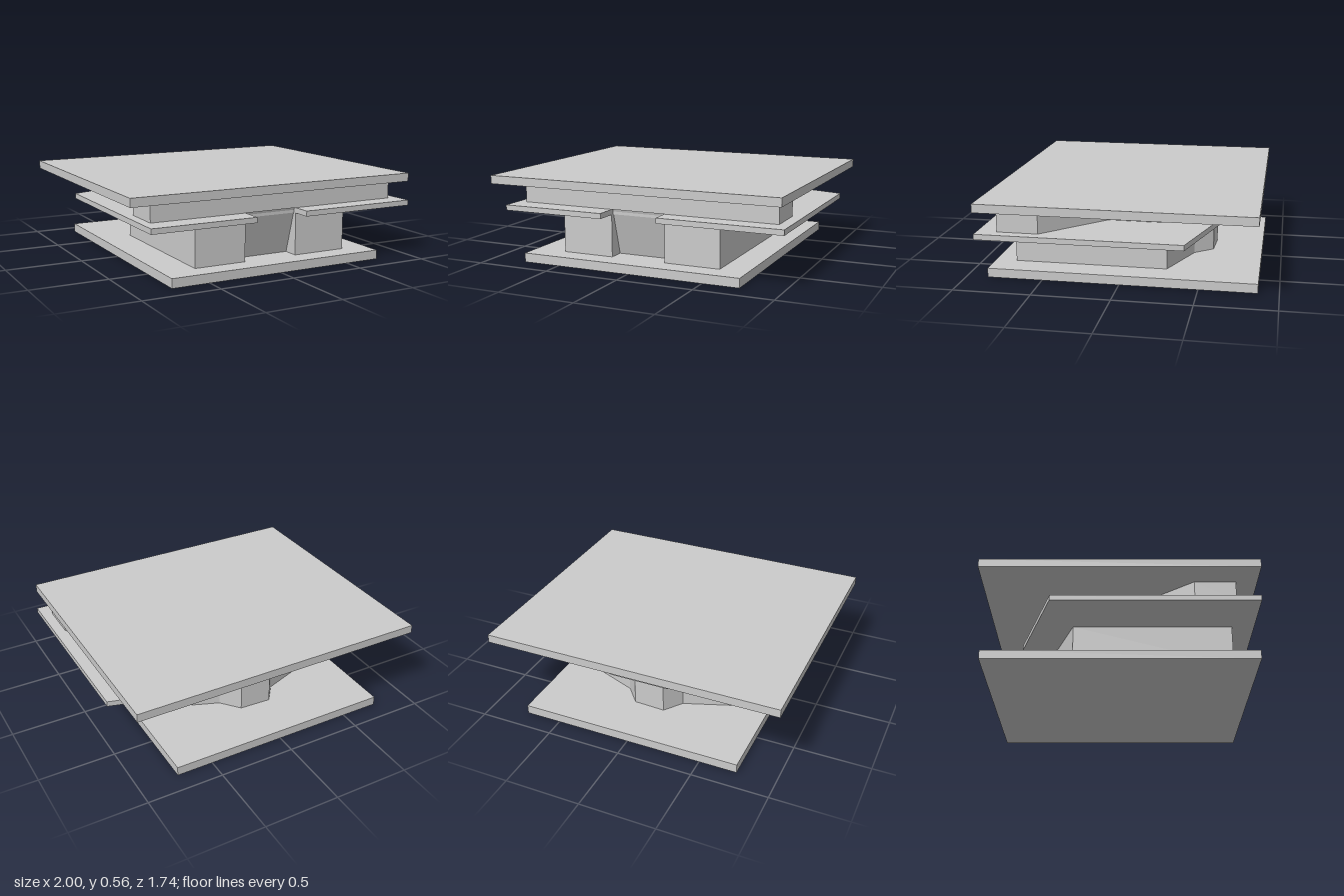
import * as THREE from 'three';

const material = new THREE.MeshStandardMaterial({ color: 0xcccccc, flatShading: true });

// Upright prism from a plan outline of [x, z] corners
function prism(name, plan, y0, y1) {
  const shape = new THREE.Shape(plan.map(([x, z]) => new THREE.Vector2(x, -z)));
  const geo = new THREE.ExtrudeGeometry(shape, { depth: y1 - y0, bevelEnabled: false });
  geo.rotateX(-Math.PI / 2).translate(0, y0, 0);
  const mesh = new THREE.Mesh(geo, material);
  mesh.name = name;
  return mesh;
}

const rect = (x0, x1, z0, z1) => [[x0, z1], [x1, z1], [x1, z0], [x0, z0]];

export function createModel() {
  const group = new THREE.Group();
  group.name = 'pavilion';

  // Faceted rear bay shared by both storeys
  const rearBay = [[0.56, -0.28], [0.2, -0.42], [0.1, -0.54],
    [-0.11, -0.55], [-0.2, -0.43], [-0.53, -0.31]];

  group.add(
    prism('groundSlab', rect(-0.75, 0.74, -0.87, 0.86), 0, 0.06),

    // Lower storey with the entrance recess in front
    prism('lowerWalls', [[0.19, 0.6], [0.19, 0.72], [0.56, 0.72], ...rearBay,
      [-0.53, 0.72], [-0.18, 0.72], [-0.18, 0.6]], 0.06, 0.335),

    // Middle slab, notched over the entrance and tapered to the rear
    prism('middleSlab', [[0.19, 0.7], [0.19, 0.845], [1, 0.845], [1, -0.44],
      [0.2, -0.67], [-0.19, -0.67], [-0.88, -0.44], [-0.88, 0.865],
      [-0.18, 0.865], [-0.18, 0.7]], 0.335, 0.37),

    // Upper storey with wide front wings
    prism('upperWalls', [[0.93, 0.72], [0.93, 0.46], [0.56, 0.1], ...rearBay,
      [-0.53, 0.1], [-0.82, 0.46], [-0.82, 0.72]], 0.37, 0.5),

    prism('roofSlab', rect(-1, 0.985, -0.87, 0.855), 0.5, 0.555),
  );

  // Entrance panel leaning outward, drawn as a [z, y] profile swept along x
  const profile = new THREE.Shape([[0.58, 0.06], [0.613, 0.06], [0.705, 0.37], [0.58, 0.37]]
    .map(([z, y]) => new THREE.Vector2(z, y)));
  const panelGeo = new THREE.ExtrudeGeometry(profile, { depth: 0.37, bevelEnabled: false });
  panelGeo.rotateY(-Math.PI / 2).translate(0.19, 0, 0);
  const panel = new THREE.Mesh(panelGeo, material);
  panel.name = 'entrancePanel';
  group.add(panel);

  return group;
}
